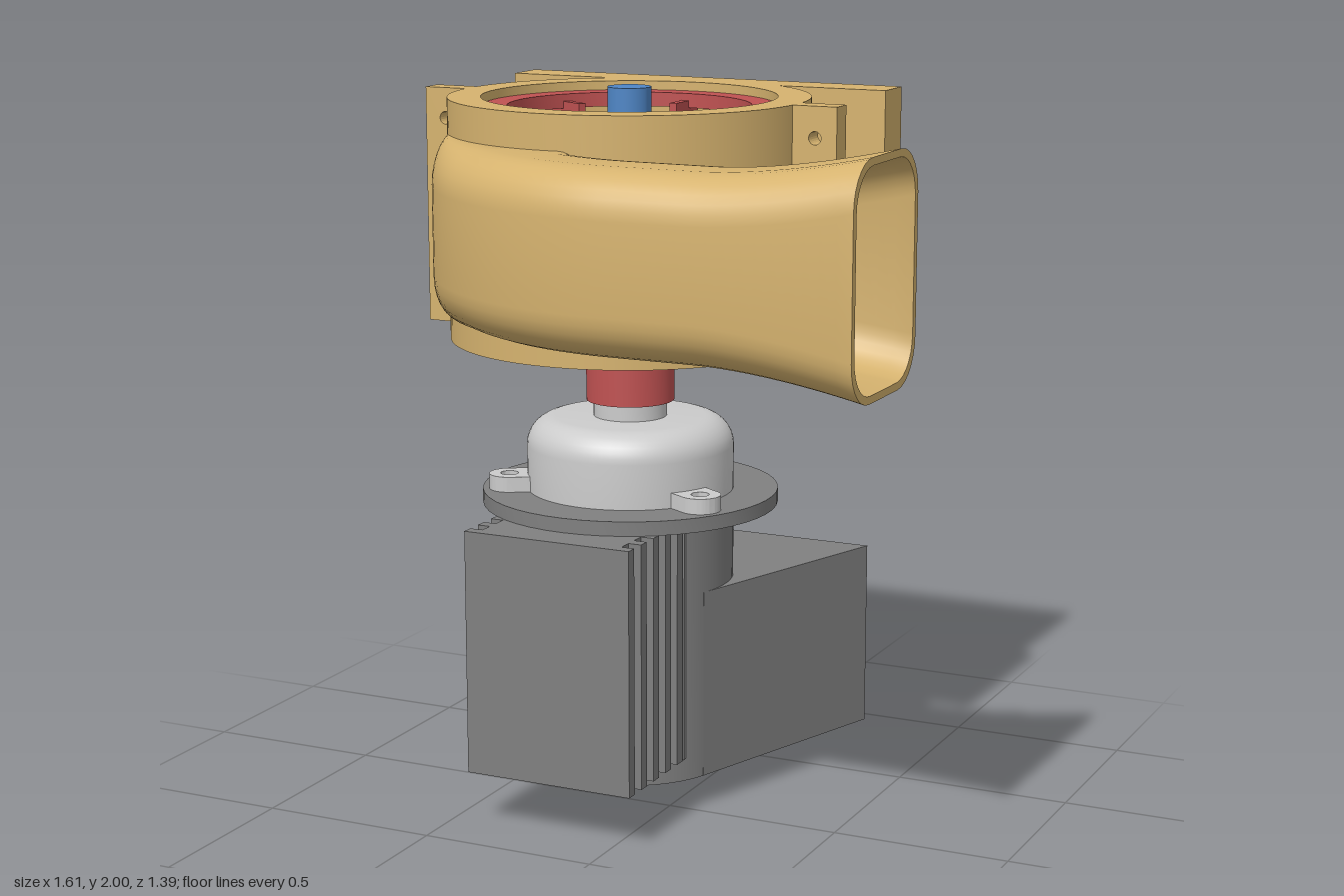
import * as THREE from 'three';
import { toCreasedNormals } from 'three/addons/utils/BufferGeometryUtils.js';

const mat = (color, side = THREE.FrontSide) => new THREE.MeshStandardMaterial({ color, side });
const TAN = mat(0xd6b36f), TAN_OPEN = mat(0xd6b36f, THREE.DoubleSide);
const RED = mat(0xc05252), BLUE = mat(0x4f86c6), DARK = mat(0x808080), LIGHT = mat(0xcccccc);
const V = (x, y) => new THREE.Vector2(x, y);

export function createModel() {
  const model = new THREE.Group();
  model.name = 'blowerWithMotor';
  // everything is laid out around the shaft axis
  const axis = new THREE.Group();
  axis.name = 'shaftAxis';
  axis.position.set(-0.187, 0, -0.135);
  model.add(axis);

  const add = (name, geo, material, parent = axis) => {
    const m = new THREE.Mesh(geo, material);
    m.name = name;
    parent.add(m);
    return m;
  };
  const lathe = (name, pts, material, seg = 72) =>
    add(name, toCreasedNormals(new THREE.LatheGeometry(pts.map(p => V(...p)), seg), 0.6), material);
  // box from its min and max corners
  const box = (name, [x0, y0, z0], [x1, y1, z1], material, parent) => {
    const g = new THREE.BoxGeometry(x1 - x0, y1 - y0, z1 - z0);
    g.translate((x0 + x1) / 2, (y0 + y1) / 2, (z0 + z1) / 2);
    return add(name, g, material, parent);
  };
  // plan shape (x, z) extruded between two heights
  const plan = (name, shape, y0, y1, material, parent) => {
    const g = new THREE.ExtrudeGeometry(shape, { depth: y1 - y0, bevelEnabled: false, curveSegments: 24 });
    g.rotateX(Math.PI / 2).translate(0, y1, 0);
    return add(name, toCreasedNormals(g, 0.6), material, parent);
  };
  const hole = (shape, x, y, r) => shape.holes.push(new THREE.Path().absarc(x, y, r, 0, Math.PI * 2, true));

  // shaft with a grooved lower tip
  lathe('shaft', [[0, 0], [0.06, 0], [0.06, 0.045], [0.05, 0.045], [0.05, 0.06], [0.06, 0.06],
    [0.06, 2], [0, 2]], BLUE, 40);

  // motor body, flange and end cap
  lathe('motorBody', [[0, 0.09], [0.29, 0.09], [0.29, 0.85], [0, 0.85]], DARK);
  const cap = [[0.29, 0.88]];
  for (let i = 0; i <= 8; i++) {
    const a = i / 8 * Math.PI / 2;
    cap.push([0.21 + 0.08 * Math.cos(a), 1.005 + 0.08 * Math.sin(a)]);
  }
  lathe('motorCap', [...cap, [0, 1.085]], LIGHT);
  lathe('capNeck', [[0.103, 1.08], [0.103, 1.14], [0.06, 1.14]], LIGHT, 40);

  const flange = new THREE.Shape().absarc(0, 0, 0.415, 0, Math.PI * 2);
  const lug = new THREE.Shape().moveTo(0.25, -0.057).lineTo(0.34, -0.057);
  lug.absarc(0.34, 0, 0.057, -Math.PI / 2, Math.PI / 2).lineTo(0.25, 0.057);
  hole(lug, 0.34, 0, 0.025);
  for (const deg of [30, 150, 270]) {
    const a = deg * Math.PI / 180;
    hole(flange, 0.34 * Math.cos(a), 0.34 * Math.sin(a), 0.025);
    plan('mountingLug', lug, 0.88, 0.923, LIGHT).rotation.y = -a;
  }
  plan('motorFlange', flange, 0.84, 0.88, DARK);

  // tapered terminal box, its sides tangent to the motor body
  const terminal = new THREE.Shape([V(-0.497, -0.563), V(0.497, -0.563), V(0.273, 0.098), V(-0.273, 0.098)]);
  plan('terminalBox', terminal, 0.09, 0.625, DARK);

  // cooling fins stacked toward the front on a narrower core
  const fins = new THREE.Group();
  fins.name = 'coolingFins';
  axis.add(fins);
  box('finCore', [-0.21, 0.155, 0.1], [0.21, 0.84, 0.49], DARK, fins);
  for (let i = 0; i < 5; i++) {
    const z = 0.515 - i * 0.075;
    box('fin', [-0.247, 0.155, z - 0.034], [0.247, 0.84, z], DARK, fins);
  }
  box('finRoot', [-0.247, 0.155, 0.1], [0.247, 0.84, 0.17], DARK, fins);

  // impeller: hub, floor disc, top ring and six blades
  lathe('impellerHub', [[0.06, 1.13], [0.123, 1.13], [0.123, 1.37], [0.06, 1.37]], RED, 48);
  lathe('impellerDisc', [[0.06, 1.365], [0.4, 1.365], [0.4, 1.4], [0.06, 1.4]], RED);
  lathe('impellerRing', [[0.335, 1.91], [0.404, 1.91], [0.404, 1.95], [0.335, 1.95], [0.335, 1.91]], RED);
  for (let i = 0; i < 6; i++) {
    box('impellerBlade', [0.255, 1.4, 0], [0.395, 1.93, 0.022], RED).rotation.y = (i + 0.5) * Math.PI / 3;
  }

  // housing drum, open at the top
  lathe('housing', [[0.12, 1.31], [0.4975, 1.31], [0.4975, 1.975], [0.406, 1.975], [0.406, 1.36],
    [0.12, 1.36]], TAN, 96);
  box('backPlate', [-0.583, 1.31, -0.545], [0.585, 1.975, -0.42], TAN);

  // drilled side flanges
  for (const s of [-1, 1]) {
    const f = new THREE.Shape([V(-0.075, 1.31), V(0.0625, 1.31), V(0.0625, 1.975), V(-0.075, 1.975)]);
    for (const y of [1.39, 1.56, 1.725, 1.89]) hole(f, 0, y, 0.018);
    const g = new THREE.ExtrudeGeometry(f, { depth: 0.065, bevelEnabled: false, curveSegments: 10 });
    add('sideFlange', g, TAN).position.set(s * 0.561, 0, s > 0 ? -0.035 : 0.03);
    if (s < 0) axis.children.at(-1).rotation.y = Math.PI;
  }

  // outlet duct wrapping the drum, then running straight and flaring
  add('outletDuct', ductGeometry(), TAN_OPEN);

  // rounded web between drum and duct
  const web = new THREE.Shape().moveTo(0.15, 0.46).lineTo(0.26, 0.43);
  web.lineTo(0.33, 0.49).lineTo(0.33, 0.482);
  web.absarc(0.325, 0.432, 0.05, Math.PI / 2, Math.PI * 1.17, false);
  web.lineTo(0.275, 0.39).lineTo(0.15, 0.43);
  const webSolid = new THREE.Shape().moveTo(0.15, 0.43).lineTo(0.285, 0.4);
  webSolid.absarc(0.325, 0.432, 0.05, Math.PI * 1.17, Math.PI / 2, true);
  webSolid.lineTo(0.325, 0.49).lineTo(0.15, 0.47);
  plan('ductWeb', webSolid, 1.5, 1.78, TAN);
  return model;
}

// rounded-rectangle sections lofted outside, over the lip and back inside
function ductGeometry() {
  const cx = 0.307, cz = 0.035, R = 0.79, IN = 0.447, stations = [];
  for (let i = 0; i <= 28; i++) {
    const a = Math.PI - i / 28 * Math.PI / 2, dx = Math.cos(a), dz = Math.sin(a);
    const k = cx * dx + cz * dz;
    // the inner side follows the drum wall until it departs from it
    const t = -k + Math.sqrt(k * k - cx * cx - cz * cz + 0.45 * 0.45);
    const inner = Math.max(IN, t);
    const soft = THREE.MathUtils.clamp(0.12 * (1 - (inner - IN) / 0.05), 0.015, 0.12);
    stations.push({ x: cx, dx, dz, inner, h: 0.24, soft });
  }
  for (let i = 1; i <= 16; i++) {
    const x = 0.12 + i / 16 * 0.684, f = Math.max(0, (x - 0.35) / 0.454) ** 1.7;
    stations.push({ x: x + 0.187, dx: 0, dz: 1, inner: IN - 0.087 * f, h: 0.24 + 0.06 * f, soft: 0.12 });
  }
  const section = ({ x, dx, dz, inner, h, soft }, wall) => {
    const w = R - inner, t = Math.min(wall, w * 0.3), pts = [];
    const a = inner + t, b = R - t, hh = h - t, half = (b - a) * 0.49;
    const corners = [[1, 1], [-1, 1], [-1, -1], [1, -1]];
    corners.forEach(([su, sv], c) => {
      const rx = Math.min((su > 0 ? 0.12 : soft) - t * 0.7, half), ry = (su > 0 ? 0.12 : soft) - t * 0.7;
      for (let j = 0; j <= 7; j++) {
        const q = (c + j / 7) * Math.PI / 2;
        const u = (su > 0 ? b - rx : a + rx) + rx * Math.cos(q);
        pts.push([x + dx * u, 1.64 + sv * (hh - ry) + ry * Math.sin(q), cz + dz * u]);
      }
    });
    return pts;
  };
  const rings = [...stations.map(s => section(s, 0)), ...stations.map(s => section(s, 0.02)).reverse()];
  const n = rings[0].length, index = [];
  for (let i = 0; i < rings.length - 1; i++) {
    for (let j = 0; j < n; j++) {
      const a = i * n + j, b = i * n + (j + 1) % n;
      index.push(a, a + n, b, b, a + n, b + n);
    }
  }
  // wind the faces outward
  for (let i = 0; i < index.length; i += 3) [index[i + 1], index[i + 2]] = [index[i + 2], index[i + 1]];
  const g = new THREE.BufferGeometry();
  g.setAttribute('position', new THREE.Float32BufferAttribute(rings.flat(2), 3));
  g.setIndex(index);
  return toCreasedNormals(g, 0.7);
}
